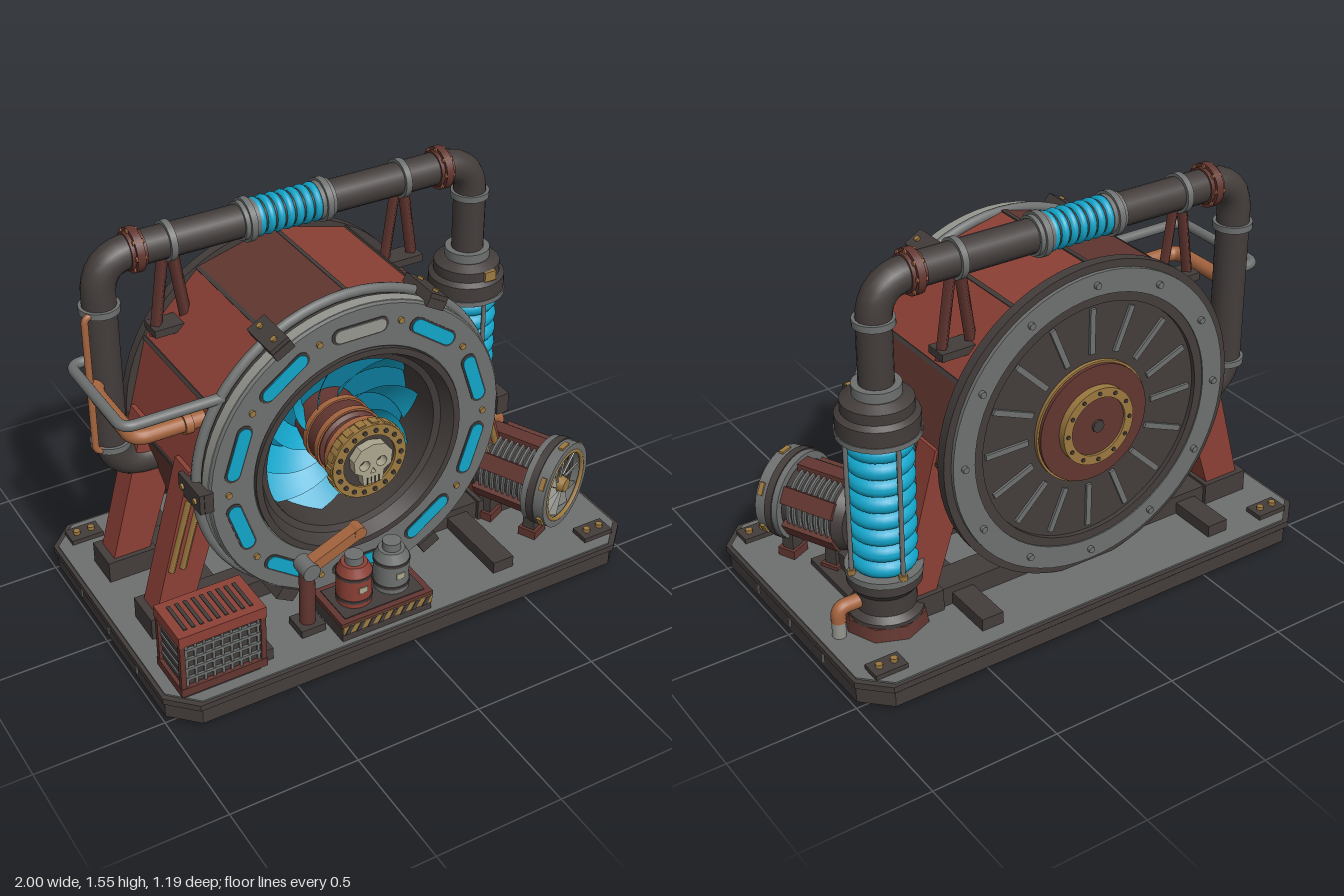
import * as THREE from 'three';
import { toCreasedNormals } from 'three/addons/utils/BufferGeometryUtils.js';

const material = (name, color) => {
  const m = new THREE.MeshStandardMaterial({ color, side: THREE.DoubleSide });
  m.name = name;
  return m;
};
const V = (x, y, z) => new THREE.Vector3(x, y, z);

export function createModel() {
  const dark = material('dark iron', 0x433d3b), rust = material('dark red paint', 0x623630);
  const steel = material('steel', 0x6e7070), pale = material('pale steel', 0x969690);
  const red = material('red paint', 0x8c4035), blue = material('glowing blue', 0x13a5ca);
  const deep = material('deep blue', 0x0c7897), gold = material('brass', 0x9c7940);
  const copper = material('copper', 0xa5653f), bone = material('bone', 0xaca68e);
  const model = new THREE.Group();
  model.name = 'reactor machine';

  const add = (parent, name, geo, mat, x = 0, y = 0, z = 0) => {
    const m = new THREE.Mesh(geo, mat);
    m.name = name;
    m.position.set(x, y, z);
    parent.add(m);
    return m;
  };
  const group = (name, x = 0, y = 0, z = 0, parent = model) => {
    const g = new THREE.Group();
    g.name = name;
    g.position.set(x, y, z);
    parent.add(g);
    return g;
  };
  const box = (p, name, mat, w, h, d, x, y, z) => add(p, name, new THREE.BoxGeometry(w, h, d), mat, x, y, z);
  const cyl = (p, name, mat, r0, r1, h, x, y, z, axis = 'y', seg = 28) => {
    const g = new THREE.CylinderGeometry(r1, r0, h, seg);
    if (axis === 'x') g.rotateZ(-Math.PI / 2);
    if (axis === 'z') g.rotateX(Math.PI / 2);
    return add(p, name, g, mat, x, y, z);
  };
  const lathe = (p, name, mat, pts, axis = 'y', seg = 64) => {
    let g = new THREE.LatheGeometry(pts.map(a => new THREE.Vector2(a[0], a[1])), seg);
    if (axis === 'z') g.rotateX(Math.PI / 2);
    if (axis === 'x') g.rotateZ(-Math.PI / 2);
    g = toCreasedNormals(g, 0.4);
    return add(p, name, g, mat);
  };
  const ring = (p, name, mat, r0, r1, z0, z1, seg = 64) =>
    lathe(p, name, mat, [[r0, z0], [r1, z0], [r1, z1], [r0, z1], [r0, z0]], 'z', seg);
  const bar = (p, name, mat, r, a, b) => {
    const m = cyl(p, name, mat, r, r, a.distanceTo(b), 0, 0, 0, 'y', 4);
    m.position.copy(a).add(b).multiplyScalar(0.5);
    m.quaternion.setFromUnitVectors(V(0, 1, 0), b.clone().sub(a).normalize());
    return m;
  };
  // Pipe through corner points with rounded bends
  const pipe = (p, name, mat, r, pts, bend) => {
    const path = new THREE.CurvePath();
    let from = pts[0];
    for (let i = 1; i < pts.length - 1; i++) {
      const a = pts[i].clone().add(pts[i - 1].clone().sub(pts[i]).setLength(bend));
      const b = pts[i].clone().add(pts[i + 1].clone().sub(pts[i]).setLength(bend));
      path.add(new THREE.LineCurve3(from, a));
      path.add(new THREE.QuadraticBezierCurve3(a, pts[i], b));
      from = b;
    }
    path.add(new THREE.LineCurve3(from, pts[pts.length - 1]));
    return add(p, name, new THREE.TubeGeometry(path, 100, r, 18), mat);
  };
  const around = (n, fn, start = 0) => {
    for (let i = 0; i < n; i++) { const a = start + i * 2 * Math.PI / n; fn(a, Math.cos(a), Math.sin(a), i); }
  };
  const extrude = (shape, depth) => new THREE.ExtrudeGeometry(shape, { depth, bevelEnabled: false, curveSegments: 16 });
  const polygon = pts => new THREE.Shape(pts.map(a => new THREE.Vector2(a[0], a[1])));
  const bellows = (p, mat, r, amp, h, n, axis) => lathe(p, 'blue bellows', mat, Array.from({ length: n * 8 + 1 },
    (_, i) => [r - amp + amp * Math.abs(Math.sin(i * Math.PI / 8)) ** 0.6, i * h / (n * 8)]), axis, 28);

  // Base with cut corners
  const plate = (name, mat, w, d, c, y, h) => {
    const g = extrude(polygon([[-w, -d + c], [-w + c, -d], [w - c, -d], [w, -d + c], [w, d - c], [w - c, d], [-w + c, d], [-w, d - c]]), h);
    add(model, name, g.rotateX(-Math.PI / 2), mat, 0, y, 0);
  };
  plate('base underside', dark, 0.975, 0.57, 0.1, 0, 0.02);
  plate('base skirt', dark, 0.99, 0.585, 0.1, 0.015, 0.06);
  plate('base groove', dark, 0.975, 0.57, 0.1, 0.07, 0.02);
  plate('base rim', dark, 1, 0.595, 0.1, 0.085, 0.025);
  plate('base deck', steel, 0.985, 0.58, 0.1, 0.11, 0.006);
  for (const s of [-1, 1]) {
    for (const t of [-0.25, 0, 0.25]) box(model, 'base tick', pale, 0.008, 0.045, 0.012, s * 0.99, 0.055, t);
    for (const t of [-1, 1]) {
      box(model, 'corner plate', dark, 0.13, 0.02, 0.08, s * 0.87, 0.125, t * 0.495);
      for (const o of [-0.03, 0.03]) cyl(model, 'corner bolt', gold, 0.014, 0.014, 0.015, s * 0.87 + o, 0.142, t * 0.495, 'y', 6);
    }
  }

  // Cradle under the drum
  const cx = -0.0875, cy = 0.735, mirror = x => 2 * cx - x;
  for (const s of [-1, 1]) {
    const side = x => (s < 0 ? x : mirror(x));
    box(model, 'long rail', dark, 0.09, 0.05, 1.02, side(-0.61), 0.14, 0);
    for (const z of [0.125, -0.25]) {
      box(model, 'leg foot', dark, 0.2, 0.09, 0.15, side(-0.8), 0.16, z);
      add(model, 'red leg', extrude(polygon([[-0.87, 0.2], [-0.72, 0.2], [-0.64, 0.45], [-0.62, 0.79], [-0.71, 0.79]].map(a => [side(a[0]), a[1]])), 0.11), red, 0, 0, z - 0.055);
    }
    for (const o of [0, 0.045]) bar(model, 'brass strut', gold, 0.014, V(side(-0.8 + o), 0.38, 0.182), V(side(-0.715 + o), 0.67, 0.182));
  }
  for (const z of [0.125, -0.25]) box(model, 'cross beam', dark, 1.55, 0.08, 0.12, cx, 0.155, z);

  // Drum with alternating painted panels
  const drum = group('drum', cx, cy, 0);
  ring(drum, 'barrel', red, 0.37, 0.62, -0.345, 0.2, 12);
  around(12, (a, c, s) => {
    box(drum, 'barrel seam', dark, 0.012, 0.016, 0.53, c * 0.618, s * 0.618, -0.07).rotation.z = a;
  });
  around(4, (a, c, s) => {
    box(drum, 'dark panel', rust, 0.008, 0.31, 0.53, c * 0.599, s * 0.599, -0.07).rotation.z = a;
  }, Math.PI / 12);
  ring(drum, 'front collar', dark, 0.36, 0.59, 0.19, 0.25);
  add(drum, 'collar tube', new THREE.TorusGeometry(0.612, 0.019, 10, 64), steel, 0, 0, 0.212);
  ring(drum, 'front rim', pale, 0.45, 0.605, 0.245, 0.29);
  lathe(drum, 'front ring', steel, [[0.42, 0.25], [0.604, 0.285], [0.596, 0.302], [0.43, 0.302], [0.42, 0.29], [0.42, 0.25]], 'z');
  lathe(drum, 'intake throat', dark, [[0.425, 0.24], [0.425, 0.312], [0.4, 0.312], [0.375, 0.26], [0.35, 0.25], [0.35, 0.05]], 'z');
  const slot = (l, r) => {
    const s = new THREE.Shape();
    s.absarc(l, 0, r, -Math.PI / 2, Math.PI / 2);
    s.absarc(-l, 0, r, Math.PI / 2, Math.PI * 1.5);
    return extrude(s, 0.006);
  };
  around(10, (a, c, s, i) => {
    add(drum, 'slot frame', slot(0.082, 0.032), dark, c * 0.51, s * 0.51, 0.299).rotation.z = a + Math.PI / 2;
    add(drum, 'slot light', slot(0.078, 0.026), i ? blue : pale, c * 0.51, s * 0.51, 0.303).rotation.z = a + Math.PI / 2;
    const b = a + Math.PI / 10;
    cyl(drum, 'ring bolt', gold, 0.012, 0.012, 0.014, Math.cos(b) * 0.53, Math.sin(b) * 0.53, 0.305, 'z', 8);
  }, Math.PI / 2);
  around(6, (a, c, s) => {
    const g = group('ring clamp', c * 0.61, s * 0.61, 0.225, drum);
    g.rotation.z = a;
    box(g, 'clamp body', dark, 0.04, 0.08, 0.17, 0.015, 0, 0);
    box(g, 'clamp lip', dark, 0.035, 0.08, 0.02, 0, 0, 0.078);
    for (const z of [-0.05, 0.05]) cyl(g, 'clamp bolt', gold, 0.012, 0.012, 0.012, 0.038, 0, z, 'x', 6);
  });

  // Swirling fan and hub
  cyl(drum, 'fan backing', deep, 0.355, 0.355, 0.01, 0, 0, 0.05, 'z', 48);
  around(10, a => {
    const g = new THREE.PlaneGeometry(1, 1, 12, 3), p = g.attributes.position;
    for (let i = 0; i < p.count; i++) {
      const u = p.getX(i) + 0.5, v = p.getY(i) + 0.5, r = 0.11 + 0.24 * u, t = a - 0.95 * u + v * 0.44;
      p.setXYZ(i, r * Math.cos(t), r * Math.sin(t), 0.07 + 0.075 * v);
    }
    g.computeVertexNormals();
    add(drum, 'fan blade', g, blue);
  });
  lathe(drum, 'hub shaft', rust, [[0.13, 0.05], [0.13, 0.24], [0.115, 0.25], [0.115, 0.27], [0.13, 0.28], [0.13, 0.31], [0, 0.31]], 'z', 40);
  for (const z of [0.13, 0.21, 0.285]) ring(drum, 'hub copper band', copper, 0.11, 0.137, z, z + 0.025);
  ring(drum, 'hub rear ring', gold, 0.05, 0.135, 0.31, 0.33);
  ring(drum, 'hub ring', gold, 0.108, 0.152, 0.33, 0.375);
  cyl(drum, 'hub face', dark, 0.112, 0.112, 0.04, 0, 0, 0.345, 'z', 40);
  around(18, (a, c, s) => {
    box(drum, 'hub tooth', gold, 0.016, 0.03, 0.035, c * 0.15, s * 0.15, 0.35).rotation.z = a;
    cyl(drum, 'hub stud', dark, 0.009, 0.009, 0.01, c * 0.13, s * 0.13, 0.377, 'z', 8);
  });
  const skull = polygon([[-0.04, -0.08], [0.04, -0.08], [0.045, -0.035], [0.075, -0.015], [0.08, 0.035], [0.05, 0.075], [0, 0.088], [-0.05, 0.075], [-0.08, 0.035], [-0.075, -0.015], [-0.045, -0.035]]);
  for (const s of [-1, 1]) skull.holes.push(new THREE.Path().absarc(s * 0.035, 0.005, 0.021, 0, Math.PI * 2));
  skull.holes.push(new THREE.Path([[0, -0.012], [0.012, -0.035], [-0.012, -0.035]].map(a => new THREE.Vector2(...a))));
  add(drum, 'skull emblem', extrude(skull, 0.035), bone, 0, 0, 0.365);
  for (const x of [-0.024, -0.008, 0.008, 0.024]) box(drum, 'tooth gap', dark, 0.004, 0.028, 0.004, x, -0.065, 0.401);

  // Drum back
  cyl(drum, 'back disc', dark, 0.56, 0.56, 0.02, 0, 0, -0.352, 'z', 64);
  ring(drum, 'back flange', dark, 0.5, 0.63, -0.37, -0.33);
  ring(drum, 'back ring', steel, 0.51, 0.6, -0.385, -0.36);
  ring(drum, 'back inner ring', dark, 0.475, 0.51, -0.38, -0.35);
  around(16, (a, c, s) => {
    box(drum, 'back vent', steel, 0.18, 0.022, 0.016, c * 0.365, s * 0.365, -0.364).rotation.z = a;
  });
  around(12, (a, c, s) => cyl(drum, 'back bolt', steel, 0.013, 0.013, 0.02, c * 0.555, s * 0.555, -0.39, 'z', 8));
  cyl(drum, 'back cap', rust, 0.235, 0.235, 0.04, 0, 0, -0.37, 'z', 48);
  ring(drum, 'back cap trim', gold, 0.23, 0.243, -0.376, -0.36);
  ring(drum, 'back brass ring', gold, 0.118, 0.155, -0.42, -0.38);
  around(12, (a, c, s) => cyl(drum, 'brass ring bolt', dark, 0.008, 0.008, 0.01, c * 0.137, s * 0.137, -0.42, 'z', 8));
  cyl(drum, 'back hub', rust, 0.12, 0.12, 0.03, 0, 0, -0.395, 'z', 32);
  cyl(drum, 'back axle', dark, 0.025, 0.025, 0.02, 0, 0, -0.41, 'z', 8);

  // Overhead pipe, its couplings and A-frames
  const pz = -0.24, py = 1.47;
  pipe(model, 'main pipe', dark, 0.063, [V(-0.6, 0.6, pz), V(-0.825, 0.6, pz), V(-0.825, py, pz), V(0.72, py, pz), V(0.72, 1.05, pz)], 0.14);
  const collar = (mat, r, w, x, y, axis) => cyl(model, 'pipe coupling', mat, r, r, w, x, y, pz, axis);
  for (const x of [-0.685, 0.575]) {
    collar(rust, 0.083, 0.03, x, py, 'x');
    collar(rust, 0.07, 0.06, x, py, 'x');
    around(8, (a, c, s) => cyl(model, 'coupling bolt', copper, 0.009, 0.009, 0.042, x, py + c * 0.074, pz + s * 0.074, 'x', 6));
  }
  for (const x of [-0.245, 0.065]) { collar(steel, 0.083, 0.025, x, py, 'x'); collar(steel, 0.073, 0.06, x, py, 'x'); }
  bellows(model, blue, 0.074, 0.02, 0.27, 7, 'x').position.set(-0.225, py, pz);
  for (const y of [1.28, 0.71]) collar(steel, 0.075, 0.025, -0.825, y, 'y');
  collar(steel, 0.075, 0.025, 0.72, 1.33, 'y');
  for (const x of [-0.555, 0.4]) {
    collar(steel, 0.075, 0.025, x, py, 'x');
    for (const s of [-1, 1]) bar(model, 'A-frame leg', rust, 0.024, V(x + s * 0.02, 1.41, pz), V(x + s * 0.065, 1.1, pz));
    box(model, 'A-frame foot', dark, 0.17, 0.03, 0.09, x, 1.13, pz);
  }

  // Side plumbing
  pipe(model, 'steel side pipe', steel, 0.02, [V(-0.8, 1.08, pz), V(-0.955, 1.08, pz), V(-0.955, 1.08, 0.212), V(-0.58, 1.08, 0.212)], 0.05);
  pipe(model, 'copper side pipe', copper, 0.03, [V(-0.85, 0.985, pz), V(-0.895, 0.985, -0.18), V(-0.895, 0.985, 0.16), V(-0.62, 0.985, 0.16)], 0.055);
  cyl(model, 'copper pipe collar', copper, 0.04, 0.04, 0.03, -0.7, 0.985, 0.16, 'x');
  pipe(model, 'copper bypass', copper, 0.013, [V(-0.82, 1.28, pz + 0.04), V(-0.9, 1.28, pz + 0.04), V(-0.9, 0.71, pz + 0.04), V(-0.82, 0.71, pz + 0.04)], 0.03);

  // Coolant column
  const col = group('coolant column', 0.72, 0, pz);
  cyl(col, 'column foot', rust, 0.16, 0.15, 0.05, 0, 0.14, 0, 'y', 8);
  lathe(col, 'column base', dark, [[0.14, 0.16], [0.14, 0.18], [0.115, 0.2], [0.115, 0.27], [0.138, 0.3], [0.138, 0.335], [0, 0.335]], 'y', 32);
  cyl(col, 'lower flange', steel, 0.143, 0.143, 0.025, 0, 0.35, 0);
  bellows(col, blue, 0.125, 0.025, 0.54, 8, 'y').position.y = 0.36;
  lathe(col, 'column cap', dark, [[0.13, 0.89], [0.15, 0.91], [0.15, 0.985], [0.13, 1.0], [0.13, 1.04], [0.095, 1.06], [0, 1.06]], 'y', 32);
  cyl(col, 'cap band', steel, 0.154, 0.154, 0.02, 0, 0.915, 0);
  cyl(col, 'cap neck', steel, 0.088, 0.088, 0.045, 0, 1.075, 0);
  around(4, (a, c, s) => {
    cyl(col, 'guard rod', steel, 0.009, 0.009, 0.56, c * 0.133, 0.63, s * 0.133, 'y', 8);
    cyl(col, 'rod nut', gold, 0.016, 0.016, 0.022, c * 0.133, 0.37, s * 0.133, 'y', 6);
  });
  box(col, 'brass valve', gold, 0.05, 0.04, 0.03, 0.02, 1.02, 0.125);
  pipe(col, 'drain elbow', copper, 0.028, [V(0.08, 0.235, 0), V(0.195, 0.235, 0), V(0.195, 0.18, 0)], 0.035);
  cyl(col, 'drain pipe', pale, 0.026, 0.026, 0.09, 0.195, 0.155, 0);
  box(model, 'column deck plate', dark, 0.13, 0.03, 0.4, 0.725, 0.125, 0);

  // Motor with finned body
  const motor = group('motor', 0.775, 0.335, 0.42);
  motor.rotation.y = 0.44;
  cyl(motor, 'motor body', dark, 0.132, 0.132, 0.27, 0, 0, -0.21, 'z');
  ring(motor, 'fan shroud', steel, 0.145, 0.175, -0.1, 0, 40);
  ring(motor, 'shroud band', dark, 0.12, 0.18, -0.075, -0.045, 40);
  cyl(motor, 'shroud back', dark, 0.15, 0.15, 0.01, 0, 0, -0.06, 'z');
  for (let i = 0; i < 8; i++) ring(motor, 'cooling fin', steel, 0.12, 0.145, -0.13 - i * 0.025, -0.12 - i * 0.025, 32);
  cyl(motor, 'motor end', dark, 0.13, 0.148, 0.04, 0, 0, -0.345, 'z');
  around(6, (a, c, s) => {
    box(motor, 'red cover', rust, 0.03, 0.065, 0.23, c * 0.142, s * 0.142, -0.215).rotation.z = a;
    box(motor, 'brass clip', gold, 0.012, 0.05, 0.02, c * 0.176, s * 0.176, -0.02).rotation.z = a;
  }, Math.PI / 6);
  around(10, (a, c, s) => {
    const b = box(motor, 'motor blade', pale, 0.105, 0.048, 0.006, c * 0.085, s * 0.085, -0.03);
    b.rotation.set(0, 0, a);
    b.rotateX(0.5);
  });
  add(motor, 'brass guard', new THREE.TorusGeometry(0.142, 0.009, 8, 40), gold, 0, 0, -0.005);
  cyl(motor, 'motor hub', gold, 0.035, 0.028, 0.04, 0, 0, -0.015, 'z', 16);
  for (const z of [-0.09, -0.29]) for (const x of [-0.08, 0.08]) {
    box(motor, 'motor foot', dark, 0.06, 0.14, 0.05, x, -0.13, z);
    box(motor, 'foot pad', rust, 0.085, 0.035, 0.075, x, -0.198, z);
  }
  pipe(model, 'motor outlet', dark, 0.062, [V(0.64, 0.36, 0.13), V(0.59, 0.36, -0.03), V(0.72, 0.36, pz)], 0.09);

  // Radiator box
  const rad = group('radiator', -0.78, 0, 0.45);
  box(rad, 'radiator core', dark, 0.31, 0.23, 0.17, 0, 0.26, 0);
  box(rad, 'radiator lid', red, 0.34, 0.045, 0.205, 0, 0.385, 0);
  box(rad, 'radiator sill', rust, 0.34, 0.035, 0.205, 0, 0.155, 0);
  box(rad, 'radiator foot', dark, 0.3, 0.03, 0.17, 0, 0.128, 0);
  for (let i = 0; i < 9; i++) {
    box(rad, 'grille bar', steel, 0.01, 0.2, 0.012, -0.14 + i * 0.035, 0.268, 0.087);
    box(rad, 'lid slot', dark, 0.014, 0.004, 0.14, -0.128 + i * 0.032, 0.409, 0);
  }
  for (let i = 0; i < 4; i++) box(rad, 'grille rail', steel, 0.32, 0.012, 0.19, 0, 0.205 + i * 0.043, 0);
  for (const x of [-0.158, 0.158]) for (const z of [-0.09, 0.09]) box(rad, 'radiator post', rust, 0.02, 0.2, 0.02, x, 0.265, z);

  // Tank stand with lever arm
  const stand = group('tank stand', -0.115, 0, 0.45);
  box(stand, 'stand base', dark, 0.38, 0.07, 0.22, 0, 0.15, 0);
  box(stand, 'stand tray', rust, 0.39, 0.02, 0.225, 0, 0.19, 0);
  box(stand, 'tray floor', dark, 0.34, 0.006, 0.18, 0, 0.201, 0);
  box(stand, 'hazard strip', gold, 0.38, 0.036, 0.008, 0, 0.168, 0.112);
  for (let i = 0; i < 8; i++) add(stand, 'hazard stripe', extrude(polygon([[-0.02, -0.018], [0, -0.018], [0.02, 0.018], [0, 0.018]]), 0.004), dark, -0.165 + i * 0.047, 0.168, 0.115);
  for (const [x, m] of [[-0.08, red], [0.08, steel]]) {
    lathe(stand, 'tank', m, [[0.067, 0.2], [0.067, 0.34], [0.05, 0.375], [0, 0.375]], 'y', 28).position.x = x;
    for (const y of [0.23, 0.33]) cyl(stand, 'tank band', dark, 0.07, 0.07, 0.012, x, y, 0);
    cyl(stand, 'tank neck', steel, 0.035, 0.035, 0.035, x, 0.39, 0);
    box(stand, 'tank label', bone, 0.035, 0.025, 0.006, x, 0.285, 0.067);
  }
  cyl(stand, 'arm post', rust, 0.03, 0.03, 0.28, -0.26, 0.255, -0.03);
  box(stand, 'arm foot', dark, 0.1, 0.035, 0.1, -0.26, 0.13, -0.03);
  cyl(stand, 'arm joint', steel, 0.035, 0.035, 0.08, -0.26, 0.395, -0.03, 'z', 20);
  box(stand, 'lever arm', copper, 0.24, 0.045, 0.05, -0.155, 0.44, -0.03).rotation.z = 0.4;
  cyl(stand, 'arm tip', copper, 0.025, 0.025, 0.055, -0.05, 0.485, -0.03, 'z', 16);
  return model;
}
